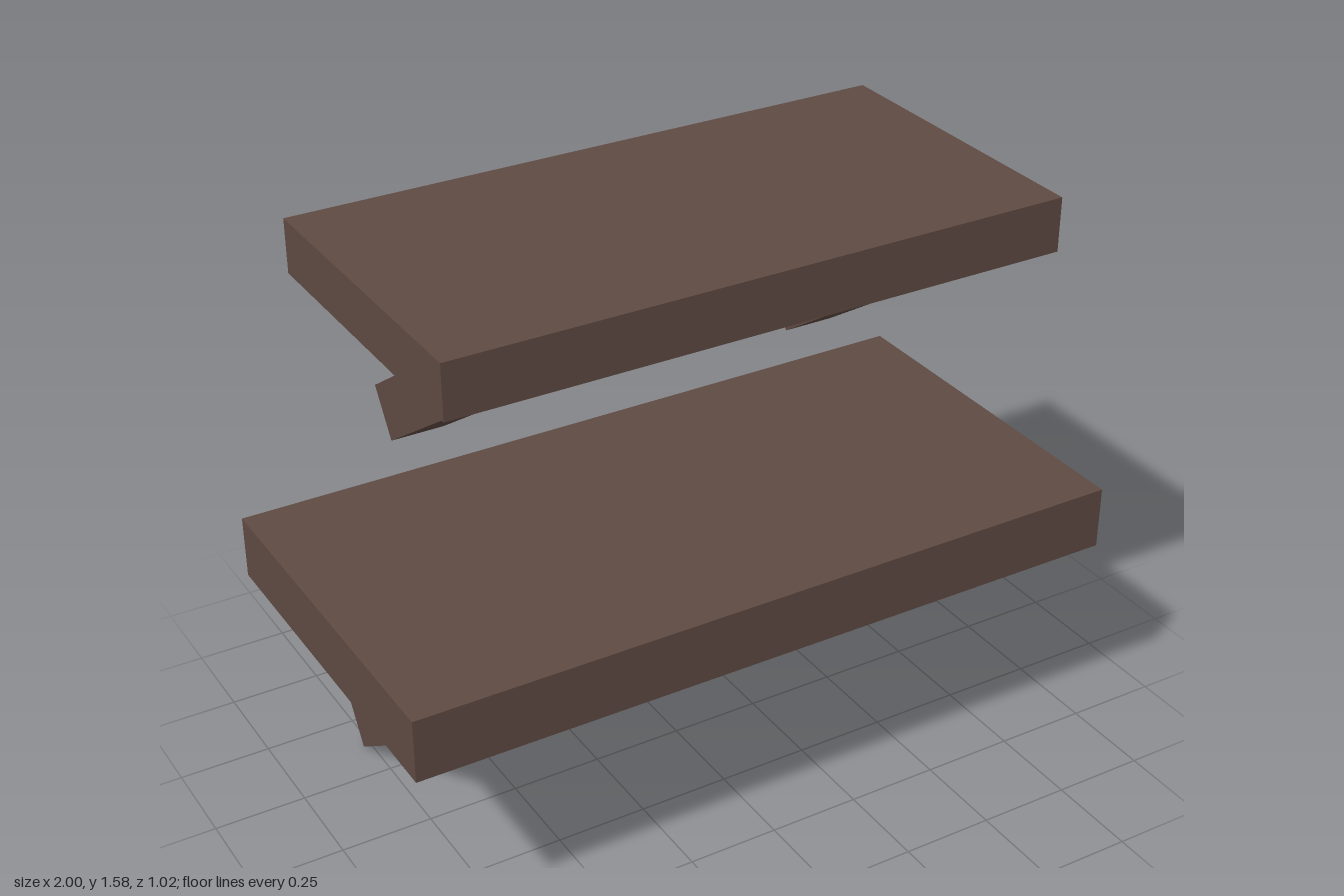
import * as THREE from 'three';

const brownWood = new THREE.MeshStandardMaterial({ color: 0x5f4a42 });
brownWood.name = 'brownWood';

// Slanted brace: a side profile of [z, y] points, extruded across x
function makeBrace(name, profile, width, x) {
  const shape = new THREE.Shape(profile.map(([z, y]) => new THREE.Vector2(z, y)));
  const geometry = new THREE.ExtrudeGeometry(shape, { depth: width, bevelEnabled: false });
  geometry.translate(0, 0, -width / 2);
  geometry.rotateY(-Math.PI / 2);
  const brace = new THREE.Mesh(geometry, brownWood);
  brace.name = name;
  brace.position.x = x;
  return brace;
}

// Shelf: one board carried by two braces that slope down to the back
function makeShelf({ name, size, y, profile, braceWidth, braceX }) {
  const shelf = new THREE.Group();
  shelf.name = name;
  const board = new THREE.Mesh(new THREE.BoxGeometry(...size), brownWood);
  board.name = name + 'Board';
  board.position.y = y;
  shelf.add(board);
  ['Right', 'Left'].forEach((side, i) =>
    shelf.add(makeBrace(name + 'Brace' + side, profile, braceWidth, braceX[i])));
  return shelf;
}

export function createModel() {
  const model = new THREE.Group();
  model.name = 'wallShelves';
  model.add(
    makeShelf({
      name: 'lowerShelf',
      size: [2, 0.173, 1.02],
      y: 0.648,
      profile: [[0.457, 0.562], [0.14, 0.562], [-0.47, 0.148], [-0.375, 0]],
      braceWidth: 0.173,
      braceX: [-0.685, 0.727],
    }),
    makeShelf({
      name: 'upperShelf',
      size: [1.686, 0.146, 0.86],
      y: 1.503,
      profile: [[0.385, 1.43], [0.12, 1.43], [-0.397, 1.083], [-0.316, 0.96]],
      braceWidth: 0.146,
      braceX: [-0.579, 0.612],
    }),
  );
  return model;
}
